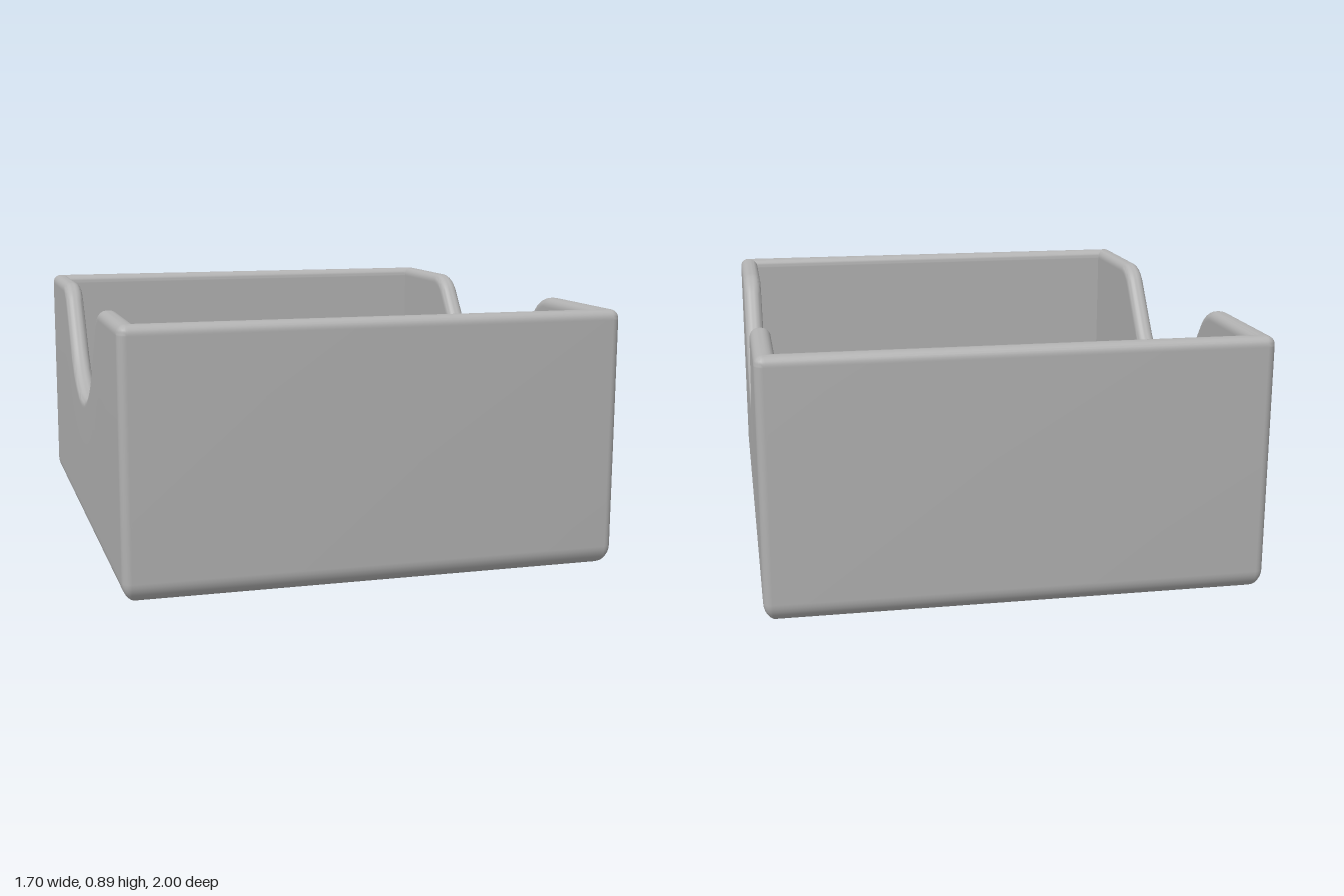
import * as THREE from 'three';
import { toCreasedNormals } from 'three/addons/utils/BufferGeometryUtils.js';

const HALF_X = 0.85, HALF_Z = 1, HEIGHT = 0.89;
const WALL = 0.07, FLOOR = 0.06;
const BASE_R = 0.07, EDGE_R = 0.03, FLOOR_R = 0.02;
const PAD = 0.004; // narrow strip that keeps flat faces flat beside a rounding

// Rim line of a side wall: points { z, y, nz, ny } from -z to +z, with normals
function notchLine() {
  const slope = 0.91, dipR = 0.39, lipR = 0.15, dipY = 0.505;
  const lipZ = 0.563, half = [];
  for (let i = 0; i <= 14; i++) {
    const a = slope * i / 14;
    half.push({ z: dipR * Math.sin(a), y: dipY + dipR * (1 - Math.cos(a)), nz: -Math.sin(a), ny: Math.cos(a) });
  }
  for (let i = 0; i <= 10; i++) {
    const a = slope * (1 - i / 10);
    half.push({ z: lipZ - lipR * Math.sin(a), y: HEIGHT - lipR * (1 - Math.cos(a)), nz: -Math.sin(a), ny: Math.cos(a) });
  }
  half.push({ z: lipZ + PAD, y: HEIGHT, nz: 0, ny: 1 });
  const mirrored = half.slice(1).reverse().map(p => ({ ...p, z: -p.z, nz: -p.nz }));
  return [...mirrored, ...half];
}

// Stations around the plan: side wall, corner, corner, side wall, corner, corner
function planStations() {
  const line = notchLine(), stations = [];
  const corner = (sx, sz, flip) => {
    const list = [];
    for (let i = 0; i <= 6; i++) {
      const a = Math.PI / 2 * i / 6;
      if (i === 0) list.push({ sx, sz, a, px: 0, pz: PAD });
      list.push({ sx, sz, a, px: 0, pz: 0 });
      if (i === 6) list.push({ sx, sz, a, px: PAD, pz: 0 });
    }
    stations.push(...(flip ? list.reverse() : list));
  };
  stations.push(...line.map(p => ({ side: 1, p })));
  corner(1, 1, false);
  corner(-1, 1, true);
  stations.push(...line.slice().reverse().map(p => ({ side: -1, p })));
  corner(-1, -1, false);
  corner(1, -1, true);
  return stations;
}

const stations = planStations();

// A ring is inset by d and lies at height y, or at a drop below the rim line
function ringPoints({ d = 0, y, drop, centre }) {
  return stations.map(s => {
    if (centre) return new THREE.Vector3(0, y, 0);
    const hx = HALF_X - d, hz = HALF_Z - d;
    if (s.side) {
      return drop === undefined
        ? new THREE.Vector3(s.side * hx, y, s.p.z)
        : new THREE.Vector3(s.side * hx, s.p.y - s.p.ny * drop, s.p.z - s.p.nz * drop);
    }
    const r = Math.max(EDGE_R - d, 0);
    return new THREE.Vector3(
      s.sx * (hx - r + r * Math.cos(s.a) - s.px),
      drop === undefined ? y : HEIGHT - drop,
      s.sz * (hz - r + r * Math.sin(s.a) - s.pz));
  });
}

// Skin between successive rings
function loft(name, rings, material) {
  const loops = rings.map(ringPoints), pos = [];
  const tri = (a, b, c) => {
    const area = b.clone().sub(a).cross(c.clone().sub(a)).length();
    if (area > 1e-9) for (const v of [a, b, c]) pos.push(v.x, v.y, v.z);
  };
  for (let i = 0; i < loops.length - 1; i++) {
    for (let j = 0; j < stations.length; j++) {
      const k = (j + 1) % stations.length;
      tri(loops[i][j], loops[i + 1][j], loops[i + 1][k]);
      tri(loops[i][j], loops[i + 1][k], loops[i][k]);
    }
  }
  const geometry = new THREE.BufferGeometry();
  geometry.setAttribute('position', new THREE.Float32BufferAttribute(pos, 3));
  const mesh = new THREE.Mesh(toCreasedNormals(geometry, 0.65), material);
  mesh.name = name;
  return mesh;
}

// Quarter-round steps, t from 0 to 90 degrees
const quarter = (n, fn) => Array.from({ length: n + 1 }, (_, i) => {
  const t = Math.PI / 2 * i / n;
  return fn(Math.sin(t), Math.cos(t));
});

export function createModel() {
  const group = new THREE.Group();
  group.name = 'notchedTray';
  const grey = new THREE.MeshStandardMaterial({ color: 0xb2b2b2 });
  grey.name = 'plain grey';

  // Underside, rounded base edge and outer walls
  group.add(loft('outerShell', [
    { y: 0, centre: true },
    { d: BASE_R + PAD, y: 0 },
    ...quarter(8, (s, c) => ({ d: BASE_R * (1 - s), y: BASE_R * (1 - c) })),
    { d: 0, y: BASE_R + PAD },
    { d: 0, drop: EDGE_R + PAD },
  ], grey));

  // Rounded rim that follows the side notches
  group.add(loft('rim', [
    { d: 0, drop: EDGE_R + PAD },
    ...quarter(6, (s, c) => ({ d: EDGE_R * (1 - c), drop: EDGE_R * (1 - s) })),
    ...quarter(6, (s, c) => ({ d: WALL - EDGE_R * (1 - s), drop: EDGE_R * (1 - c) })),
    { d: WALL, drop: EDGE_R + PAD },
  ], grey));

  // Inner walls, small fillet and floor
  group.add(loft('interior', [
    { d: WALL, drop: EDGE_R + PAD },
    { d: WALL, y: FLOOR + FLOOR_R + PAD },
    ...quarter(5, (s, c) => ({ d: WALL + FLOOR_R * (1 - c), y: FLOOR + FLOOR_R * (1 - s) })),
    { d: WALL + FLOOR_R + PAD, y: FLOOR },
    { y: FLOOR, centre: true },
  ], grey));

  return group;
}
